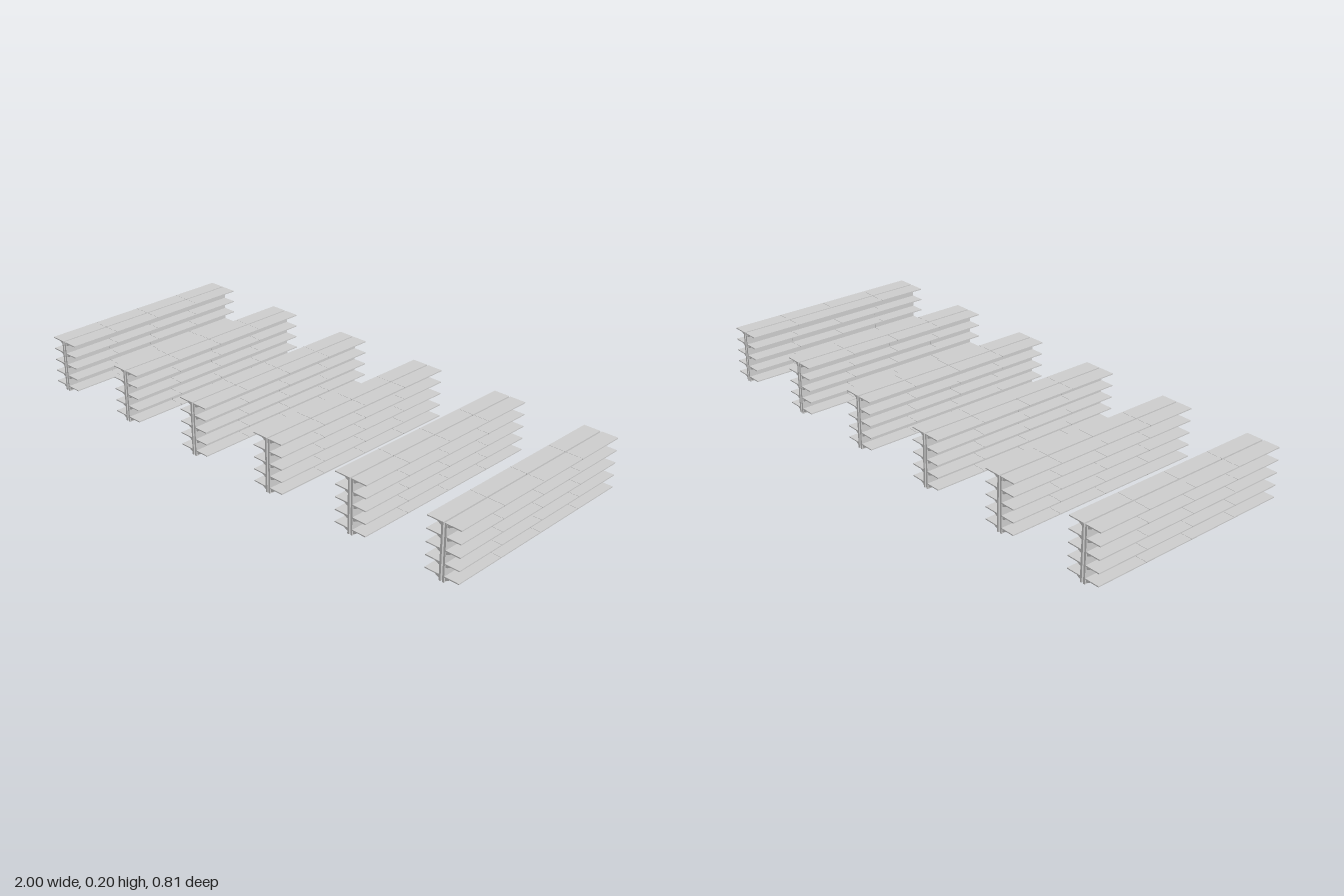
import * as THREE from 'three';

const ROWS = 6, PITCH = 0.3736;       // shelf rows across x
const BAYS = 4, BAY = 0.2025;         // bays along z in each row
const TOPS = [0.022, 0.067, 0.113, 0.159, 0.205];
const GAP = 0.003, PANEL = 0.0105, REACH = 0.066, THICK = 0.004;

export function createModel() {
  const model = new THREE.Group();
  model.name = 'shelvingRows';
  const material = new THREE.MeshStandardMaterial({ color: 0xcccccc, flatShading: true });

  // Shared geometries
  const panelGeo = new THREE.BoxGeometry(PANEL - GAP, 0.203, BAY - 0.0006);
  const shelfGeo = new THREE.BoxGeometry(REACH - GAP, THICK, BAY - 0.001);

  // Tapered bracket under each shelf end, tall at the panel
  const profile = new THREE.Shape();
  profile.moveTo(0, 0);
  profile.lineTo(0, -0.012);
  profile.lineTo(0.007, -0.010);
  profile.lineTo(0.024, 0);
  const bracketGeo = new THREE.ExtrudeGeometry(profile, { depth: 0.006, bevelEnabled: false });
  bracketGeo.translate(PANEL, 0, -0.003);

  const add = (parent, geo, name, x, y, z) => {
    const mesh = new THREE.Mesh(geo, material);
    mesh.name = name;
    mesh.position.set(x, y, z);
    parent.add(mesh);
  };

  // One single-sided bay, shelves reaching towards +x
  function makeBay() {
    const bay = new THREE.Group();
    bay.name = 'shelfBay';
    add(bay, panelGeo, 'backPanel', (GAP + PANEL) / 2, 0.1015, 0);
    for (const top of TOPS) {
      add(bay, shelfGeo, 'shelf', (GAP + REACH) / 2, top - THICK / 2, 0);
      for (const s of [-1, 1]) add(bay, bracketGeo, 'shelfBracket', 0, top - THICK, s * (BAY / 2 - 0.007));
    }
    return bay;
  }

  // Rows of bays standing back to back
  for (let r = 0; r < ROWS; r++) {
    const row = new THREE.Group();
    row.name = 'shelfRow';
    row.position.x = (r - (ROWS - 1) / 2) * PITCH;
    for (let b = 0; b < BAYS; b++) {
      for (const turn of [0, Math.PI]) {
        const bay = makeBay();
        bay.position.z = (b - (BAYS - 1) / 2) * BAY;
        bay.rotation.y = turn;
        row.add(bay);
      }
    }
    model.add(row);
  }
  return model;
}
